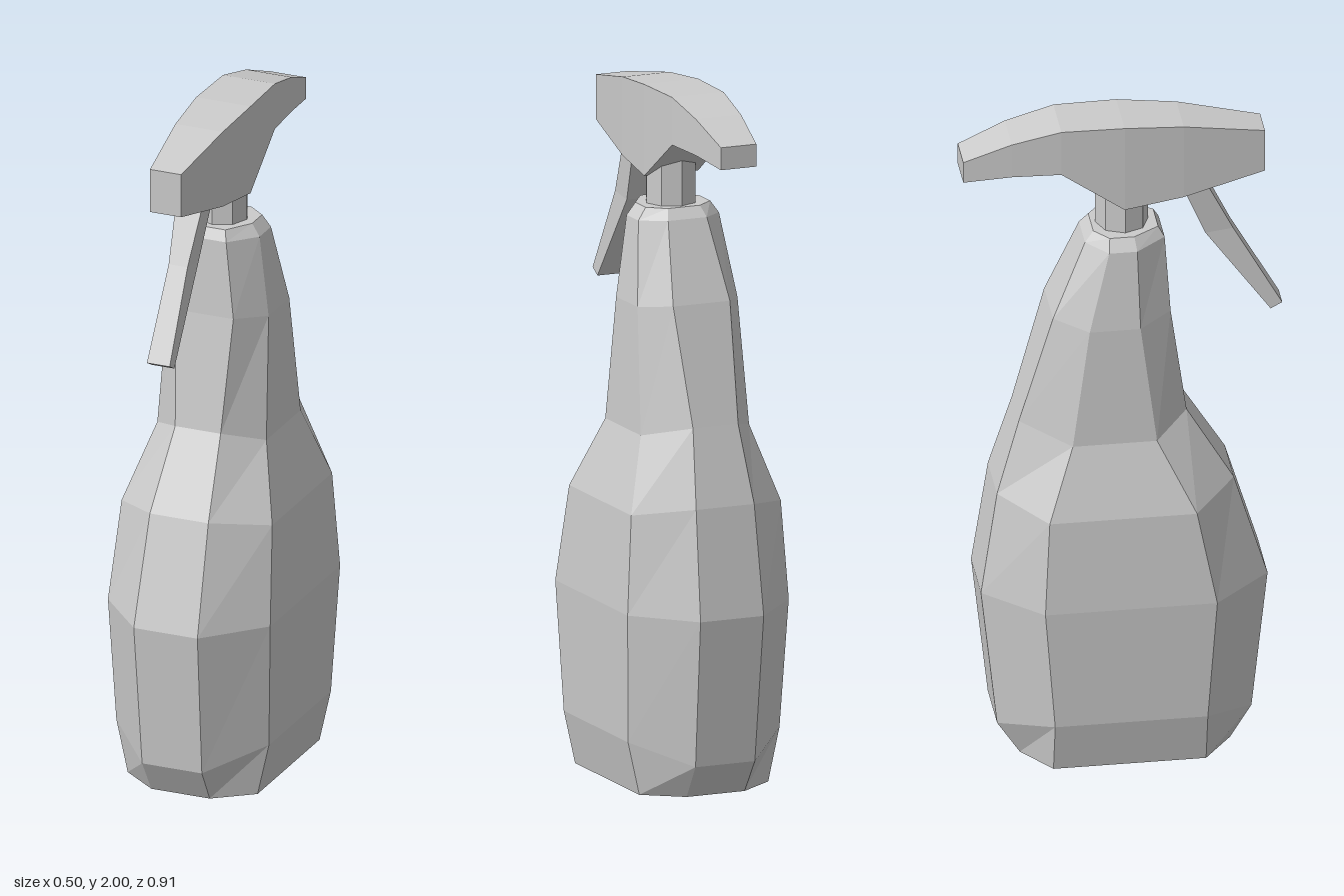
import * as THREE from 'three';

const grey = new THREE.MeshStandardMaterial({ color: 0xcccccc, flatShading: true });

// Skins a list of equal-length rings (counter-clockwise seen from the last ring) and caps both ends
function loft(name, rings) {
  const n = rings[0].length;
  const pos = rings.flat(2);
  const idx = [];
  for (let i = 0; i < rings.length - 1; i++) {
    for (let j = 0; j < n; j++) {
      const a = i * n + j, b = i * n + (j + 1) % n;
      idx.push(a, b, b + n, a, b + n, a + n);
    }
  }
  const last = (rings.length - 1) * n;
  for (let j = 1; j < n - 1; j++) {
    idx.push(0, j + 1, j, last, last + j, last + j + 1);
  }
  const indexed = new THREE.BufferGeometry();
  indexed.setAttribute('position', new THREE.Float32BufferAttribute(pos, 3));
  indexed.setIndex(idx);
  const geo = indexed.toNonIndexed();
  geo.computeVertexNormals();
  const mesh = new THREE.Mesh(geo, grey);
  mesh.name = name;
  return mesh;
}

// Eight-cornered bottle section: narrow front and back faces, wide sides
function bottleRing([yEnd, ySide, endHalf, zFront, zBack, sideHalf, zSideFront, zSideBack]) {
  return [
    [-endHalf, yEnd, zFront], [endHalf, yEnd, zFront],
    [sideHalf, ySide, zSideFront], [sideHalf, ySide, zSideBack],
    [endHalf, yEnd, zBack], [-endHalf, yEnd, zBack],
    [-sideHalf, ySide, zSideBack], [-sideHalf, ySide, zSideFront],
  ];
}

export function createModel() {
  const model = new THREE.Group();
  model.name = 'sprayBottle';

  // Bottle: yEnd, ySide, endHalf, zFront, zBack, sideHalf, zSideFront, zSideBack
  model.add(loft('bottle', [
    [0, 0, 0.09, 0.30, -0.30, 0.20, 0.215, -0.22],
    [0.10, 0.155, 0.092, 0.36, -0.365, 0.235, 0.215, -0.22],
    [0.53, 0.53, 0.098, 0.405, -0.412, 0.25, 0.24, -0.25],
    [0.845, 0.815, 0.09, 0.31, -0.365, 0.232, 0.185, -0.235],
    [1.065, 1.025, 0.07, 0.178, -0.30, 0.168, 0.08, -0.16],
    [1.40, 1.385, 0.088, 0.13, -0.205, 0.155, 0.035, -0.11],
    [1.625, 1.62, 0.06, 0.117, -0.11, 0.125, 0.03, -0.05],
    [1.655, 1.655, 0.05, 0.10, -0.085, 0.10, 0.025, -0.045],
  ].map(bottleRing)));

  // Neck joining the bottle to the spray head
  const neck = new THREE.Mesh(new THREE.CylinderGeometry(0.075, 0.075, 0.18, 8), grey);
  neck.name = 'neck';
  neck.position.set(0, 1.73, 0.003);
  model.add(neck);

  // Spray head, back to front: z, bottom, top, half width
  model.add(loft('sprayHead', [
    [-0.456, 1.845, 1.91, 0.055],
    [-0.32, 1.86, 1.965, 0.07],
    [-0.18, 1.862, 2.0, 0.08],
    [0, 1.735, 2.0, 0.084],
    [0.17, 1.757, 1.985, 0.073],
    [0.405, 1.81, 1.94, 0.048],
  ].map(([z, lo, hi, w]) => [[-w, lo, z], [w, lo, z], [w, hi, z], [-w, hi, z]])));

  // Curved trigger, bottom to top: half width, front z, front y, back z, back y
  model.add(loft('trigger', [
    [0.035, 0.456, 1.37, 0.423, 1.352],
    [0.029, 0.317, 1.62, 0.238, 1.61],
    [0.04, 0.243, 1.77, 0.175, 1.76],
    [0.04, 0.23, 1.80, 0.165, 1.79],
  ].map(([w, zf, yf, zb, yb]) => [[-w, yf, zf], [w, yf, zf], [w, yb, zb], [-w, yb, zb]])));

  return model;
}
